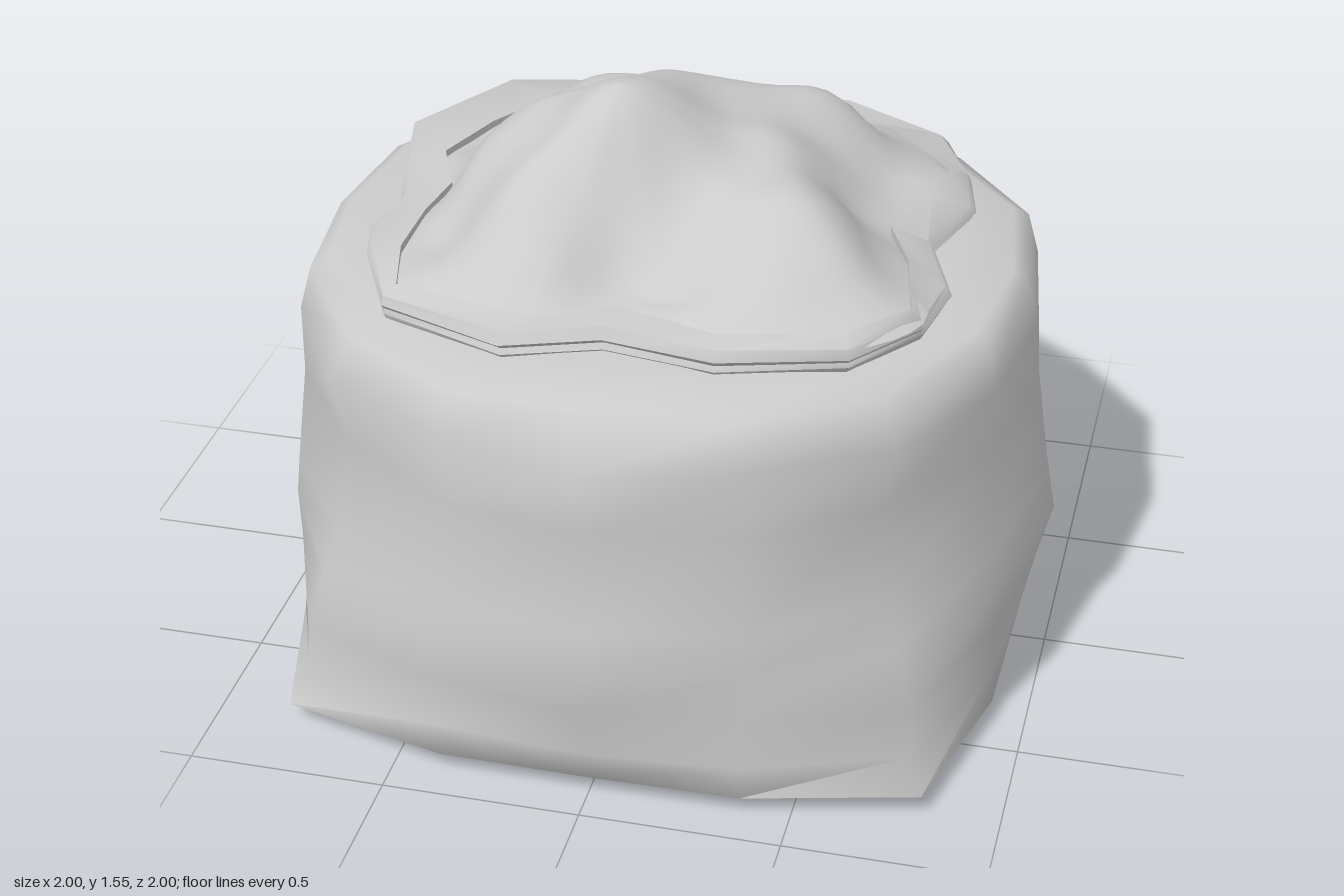
import * as THREE from 'three';
import { toCreasedNormals } from 'three/addons/utils/BufferGeometryUtils.js';

const material = new THREE.MeshStandardMaterial({ color: 0xcccccc, side: THREE.DoubleSide });

// Skin a stack of closed loops (each an array of [x, y, z])
function loft(name, loops, crease) {
  const n = loops[0].length, index = [];
  for (let i = 0; i < loops.length - 1; i++) {
    for (let j = 0; j < n; j++) {
      const a = i * n + j, b = i * n + (j + 1) % n;
      index.push(a, a + n, b, b, a + n, b + n);
    }
  }
  let geometry = new THREE.BufferGeometry();
  geometry.setAttribute('position', new THREE.Float32BufferAttribute(loops.flat(2), 3));
  geometry.setIndex(index);
  geometry.computeVertexNormals();
  if (crease) geometry = toCreasedNormals(geometry, crease);
  const mesh = new THREE.Mesh(geometry, material);
  mesh.name = name;
  return mesh;
}

// Sack: height, then radius at side middles, between, and at the corners
const SACK = [
  [0.005, 0, 0, 0],
  [0.015, 0.82, 0.89, 1.02],
  [0.06, 0.92, 0.99, 1.14],
  [0.14, 0.935, 0.98, 1.08],
  [0.28, 0.965, 0.985, 1.075],
  [0.42, 1.00, 0.99, 1.02],
  [0.52, 0.98, 0.98, 0.98],
  [0.78, 0.94, 0.95, 0.94],
  [0.96, 0.93, 0.95, 0.98],
  [1.07, 0.89, 0.92, 0.92],
  [1.09, 0.86, 0.88, 0.84],
  [1.105, 0.70, 0.71, 0.74],
  [1.105, 0.50, 0.50, 0.50],
];

// Local changes of radius: side or corner number, height, amount
const DENTS = [
  // the front bulges at the shoulder and slopes in above it
  [4, 0.96, 0.06], [4, 1.07, -0.03], [4, 1.09, -0.04],
  // the back is pinched below its shoulder
  [12, 0.96, -0.06], [12, 1.07, 0.04],
  // the back left corner is slimmer
  [14, 0.78, -0.02], [14, 0.96, -0.06], [14, 1.07, -0.03],
];

function sack() {
  const loops = SACK.map(([y, mid, between, corner]) => {
    const loop = [];
    for (let k = 0; k < 16; k++) {
      const a = k * Math.PI / 8;
      let r = [mid, between, corner, between][k % 4];
      for (const [side, height, amount] of DENTS) {
        if (side === k && height === y) r += amount;
      }
      loop.push([r * Math.cos(a), y, r * Math.sin(a)]);
    }
    return loop;
  });
  return loft('sackBody', loops, 1.3);
}

// Wavy outlines of the rolled rim, x and z
const OUTER = [
  [0.66, 0], [0.74, 0.22], [0.70, 0.40], [0.56, 0.60], [0.26, 0.70],
  [-0.02, 0.66], [-0.25, 0.74], [-0.58, 0.60], [-0.70, 0.35], [-0.74, 0.20],
  [-0.71, 0.05], [-0.76, -0.14], [-0.82, -0.41], [-0.65, -0.69], [-0.25, -0.74],
  [0, -0.71], [0.31, -0.74], [0.60, -0.60], [0.69, -0.40], [0.73, -0.23],
];
const INNER = [
  [0.55, 0], [0.62, 0.16], [0.67, 0.40], [0.53, 0.56], [0.25, 0.63],
  [-0.01, 0.55], [-0.22, 0.64], [-0.55, 0.57], [-0.60, 0.38], [-0.60, 0.18],
  [-0.58, 0.02], [-0.65, -0.15], [-0.58, -0.35], [-0.46, -0.55], [-0.22, -0.57],
  [0, -0.58], [0.30, -0.60], [0.46, -0.55], [0.64, -0.35], [0.62, -0.20],
];

// Rim profile: share of the way from inner to outer outline, height
const RIM = [
  [0.2, 1.09], [0.75, 1.09], [0.92, 1.11], [0.84, 1.125],
  [1.0, 1.14], [0.85, 1.17], [0, 1.175], [0, 1.09],
];

function rim() {
  const loops = RIM.map(([t, y]) => OUTER.map(([ox, oz], i) => {
    const [ix, iz] = INNER[i];
    // the outer lip droops towards the sides
    const droop = 0.035 * t * ox * ox * Math.max(0, (y - 1.1) / 0.04);
    return [ix + (ox - ix) * t, y - droop, iz + (oz - iz) * t];
  }));
  return loft('rolledRim', loops, 0.7);
}

// Heap bumps and hollows: x, z, height, width
const BUMPS = [
  [-0.10, 0.15, 0.18, 0.13], [-0.05, -0.02, 0.10, 0.15], [0.28, -0.33, 0.13, 0.14],
  [0.28, 0.04, 0.09, 0.13], [-0.40, 0.05, 0.13, 0.13], [0.38, 0.28, 0.09, 0.12],
  [-0.28, -0.33, 0.10, 0.15], [0.00, -0.21, 0.10, 0.13], [-0.28, 0.36, 0.08, 0.12],
  [0.04, 0.44, -0.06, 0.11], [0.48, -0.16, -0.04, 0.09],
  [-0.50, -0.20, -0.06, 0.09], [-0.48, 0.38, -0.05, 0.09],
];

function heap() {
  const outline = new THREE.CatmullRomCurve3(
    INNER.map(([x, z]) => new THREE.Vector3(x, 0, z)), true).getPoints(80).slice(0, 80);
  const loops = [], steps = 24;
  for (let i = 0; i <= steps; i++) {
    const t = 1.04 * (1 - i / steps);
    loops.push(outline.map((p) => {
      const x = p.x * t - 0.10 * (1 - t), z = p.z * t + 0.13 * (1 - t);
      let y = 1.155 + 0.15 * (1 - t * t);
      const fade = Math.min(1, Math.max(0, (1.04 - t) * 4));
      for (const [bx, bz, h, w] of BUMPS) {
        y += fade * h * Math.exp(-((x - bx) ** 2 + (z - bz) ** 2) / (2 * w * w));
      }
      // small crumbs break up the slopes
      y += fade * 0.008 * Math.sin(17 * x + 4 * z) * Math.sin(19 * z - 5 * x);
      return [x, y, z];
    }));
  }
  return loft('heapedFilling', loops);
}

export function createModel() {
  const group = new THREE.Group();
  group.name = 'filledSack';
  group.add(sack(), rim(), heap());
  return group;
}
